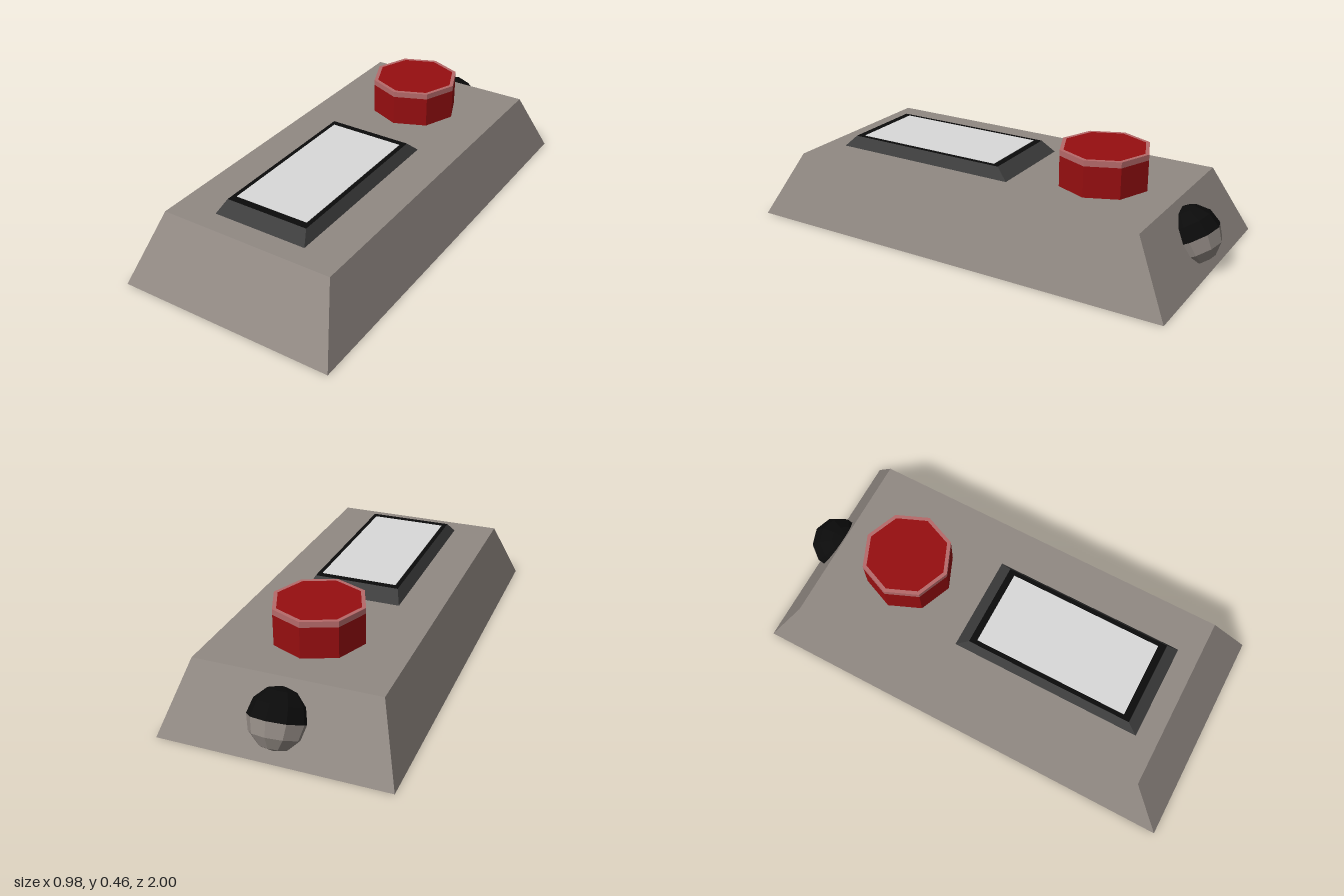
import * as THREE from 'three';

const mat = (name, color) => {
  const m = new THREE.MeshStandardMaterial({ color });
  m.name = name;
  return m;
};

// Gives every face its own normal
function faceted(geometry) {
  const g = geometry.index ? geometry.toNonIndexed() : geometry;
  g.computeVertexNormals();
  return g;
}

// Box whose top and bottom rectangles differ: [halfWidth, backZ, frontZ]
function taperedBox(bottom, top, y0, y1) {
  const g = new THREE.BoxGeometry(1, 1, 1);
  const p = g.attributes.position;
  for (let i = 0; i < p.count; i++) {
    const up = p.getY(i) > 0;
    const [w, back, front] = up ? top : bottom;
    p.setXYZ(i, Math.sign(p.getX(i)) * w, up ? y1 : y0, p.getZ(i) > 0 ? front : back);
  }
  g.computeVertexNormals();
  return g;
}

export function createModel() {
  const group = new THREE.Group();
  const casing = mat('casing grey', 0x918983);
  const frame = mat('frame grey', 0x3d3d3d);
  const black = mat('black', 0x0b0b0b);
  const white = mat('screen white', 0xdadada);
  const red = mat('button red', 0x960e10);
  const pink = mat('button rim pink', 0xb66a6a);

  const add = (name, geometry, material, parent = group) => {
    const mesh = new THREE.Mesh(geometry, material);
    mesh.name = name;
    parent.add(mesh);
    return mesh;
  };

  // Casing with sloping sides
  add('casing', taperedBox([0.49, -0.965, 1], [0.395, -0.81, 0.835], 0, 0.295), casing);

  // Bevelled screen frame with a black top, and the screen plate on it
  add('screenFrame', taperedBox([0.215, -0.125, 0.74], [0.19, -0.07, 0.69], 0.295, 0.345),
    [frame, frame, black, frame, frame, frame]);
  add('screen', taperedBox([0.17, -0.04, 0.657], [0.17, -0.04, 0.657], 0.343, 0.347), white);

  // Eight-sided push button with a pale band around its top edge
  const button = new THREE.Group();
  button.name = 'button';
  button.position.set(0, 0, -0.475);
  group.add(button);
  const R = 0.197, sides = 8;
  const wall = (y0, y1) => faceted(
    new THREE.CylinderGeometry(R, R, y1 - y0, sides, 1, true).translate(0, (y0 + y1) / 2, 0));
  add('buttonSide', wall(0.29, 0.43), red, button);
  add('buttonRimSide', wall(0.43, 0.455), pink, button);
  add('buttonRimTop', new THREE.RingGeometry(0.18, R, sides, 1, Math.PI / 2)
    .rotateX(-Math.PI / 2).translate(0, 0.455, 0), pink, button);
  add('buttonTop', new THREE.CircleGeometry(0.18, sides, Math.PI / 2)
    .rotateX(-Math.PI / 2).translate(0, 0.455, 0), red, button);

  // Two-tone ball set into the back slope and tilted with it
  const ball = new THREE.Group();
  ball.name = 'ball';
  ball.position.set(0, 0.15, -0.875);
  ball.rotation.x = Math.atan2(0.155, 0.295);
  group.add(ball);
  const half = (start) => faceted(
    new THREE.SphereGeometry(0.125, 10, 3, Math.PI / 2, Math.PI * 2, start, Math.PI / 2).rotateY(Math.PI));
  add('ballUpperHalf', half(0), black, ball);
  add('ballLowerHalf', half(Math.PI / 2), casing, ball);

  return group;
}
